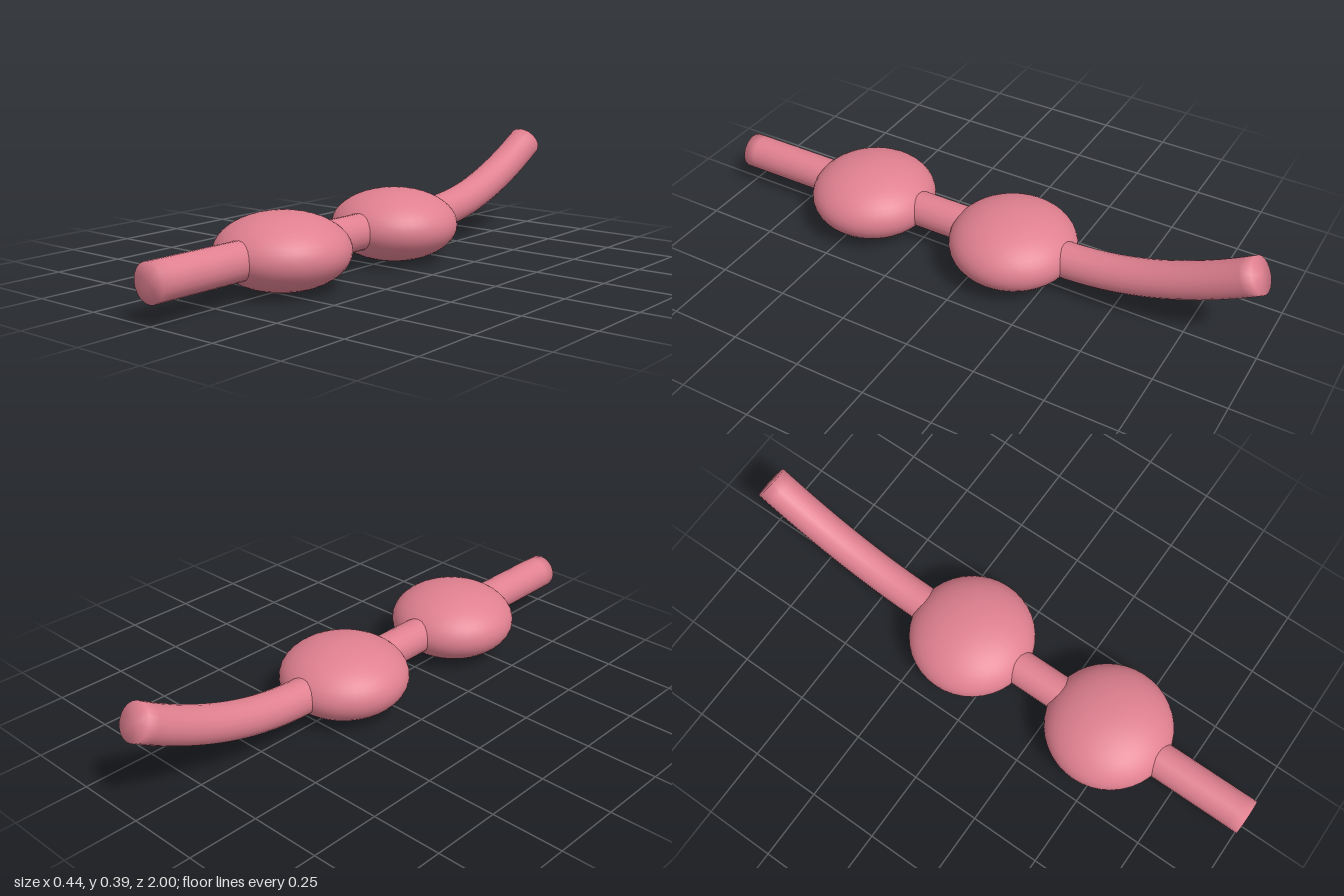
import * as THREE from 'three';
import { mergeGeometries, mergeVertices } from 'three/addons/utils/BufferGeometryUtils.js';

const RADIUS = 0.063, AXIS_Y = 0.129, SIDES = 20;

// Straight stem along z that sweeps upward at the back, closed by softly shaded caps
function stemGeometry() {
  const at = (y, z) => new THREE.Vector3(0, y, z);
  const path = new THREE.CurvePath();
  path.add(new THREE.LineCurve3(at(AXIS_Y, 1), at(AXIS_Y, -0.3)));
  path.add(new THREE.QuadraticBezierCurve3(at(AXIS_Y, -0.3), at(AXIS_Y, -0.63), at(0.335, -0.967)));

  const tube = new THREE.TubeGeometry(path, 48, RADIUS, SIDES, false);
  const end = path.getPointAt(1), dir = path.getTangentAt(1);
  const frontCap = new THREE.CircleGeometry(RADIUS, SIDES).translate(0, AXIS_Y, 1);
  const backCap = new THREE.CircleGeometry(RADIUS, SIDES)
    .rotateY(Math.PI)
    .rotateX(Math.atan2(dir.y, -dir.z))
    .translate(end.x, end.y, end.z);

  // Weld the caps to the tube so the normals run smoothly over the rims
  const merged = mergeGeometries([tube, frontCap, backCap]);
  merged.deleteAttribute('uv');
  merged.deleteAttribute('normal');
  const welded = mergeVertices(merged, 1e-3);
  welded.computeVertexNormals();
  return welded;
}

export function createModel() {
  const group = new THREE.Group();
  const material = new THREE.MeshStandardMaterial({ color: 0xe08090 });

  const stem = new THREE.Mesh(stemGeometry(), material);
  stem.name = 'curvedStem';
  group.add(stem);

  // Two flattened beads threaded on the stem
  const beadGeometry = new THREE.SphereGeometry(1, 40, 24).scale(0.221, 0.126, 0.221);
  [['frontBead', 0.455], ['backBead', -0.115]].forEach(([name, z]) => {
    const bead = new THREE.Mesh(beadGeometry, material);
    bead.name = name;
    bead.position.set(0, AXIS_Y, z);
    group.add(bead);
  });

  return group;
}
